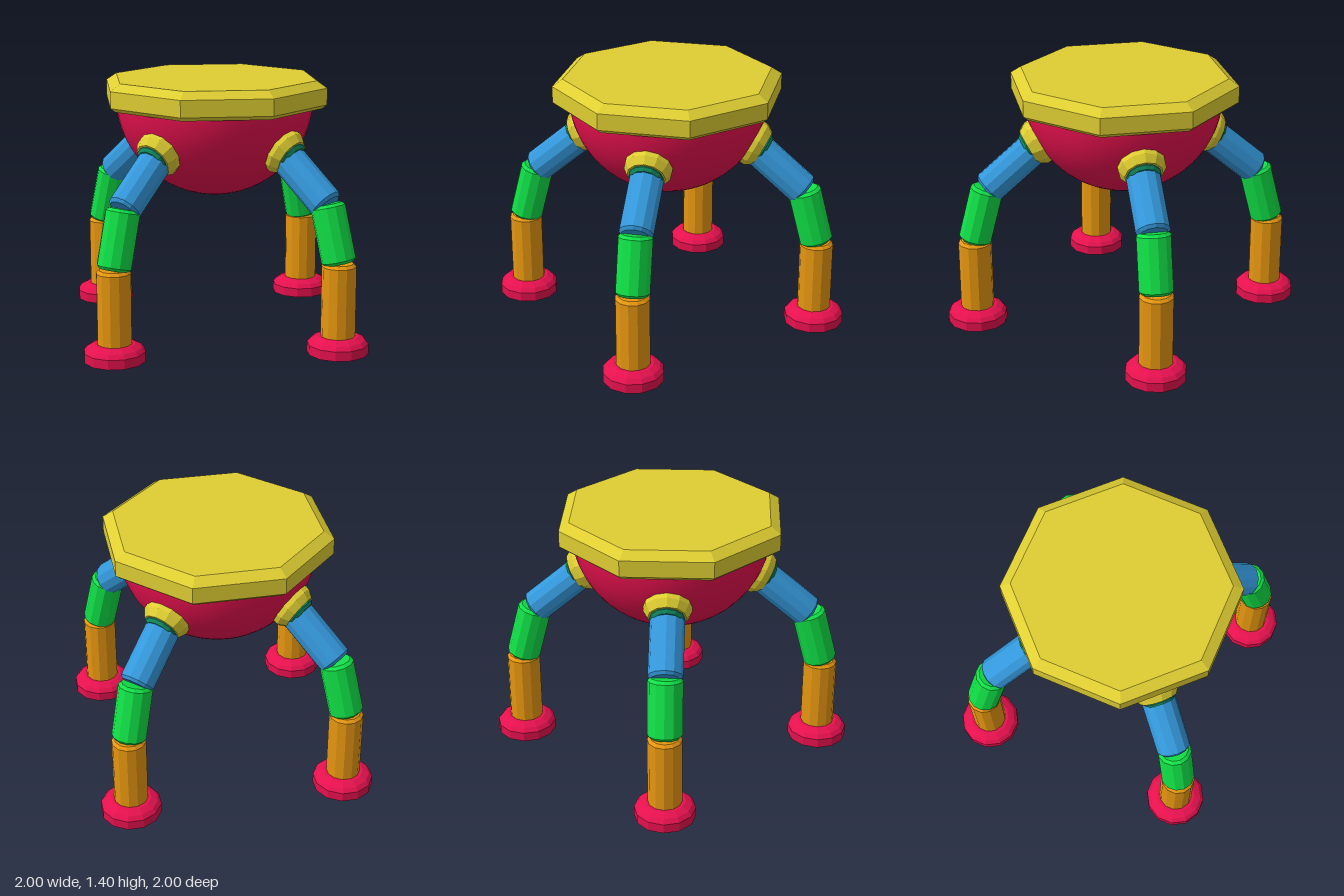
import * as THREE from 'three';

const paint = (name, color) => {
  const m = new THREE.MeshStandardMaterial({ color });
  m.name = name;
  return m;
};

// Faceted solid of revolution; profile is [radius, height] from bottom to top
function faceted(profile, sides, turn = 0) {
  const points = profile.map(([r, y]) => new THREE.Vector2(r, y));
  const g = new THREE.LatheGeometry(points, sides, turn).toNonIndexed();
  g.computeVertexNormals();
  return g;
}

function part(parent, name, geometry, material) {
  const mesh = new THREE.Mesh(geometry, material);
  mesh.name = name;
  parent.add(mesh);
  return mesh;
}

// Chamfered twelve-sided rod between two points in the XY plane
function rod(parent, name, from, to, material) {
  const a = new THREE.Vector3(from[0], from[1], 0);
  const d = new THREE.Vector3(to[0], to[1], 0).sub(a);
  const len = d.length(), r = 0.092, c = 0.016;
  const mesh = part(parent, name, faceted(
    [[0, 0], [r - c, 0], [r, c], [r, len - c], [r - c, len], [0, len]], 12), material);
  mesh.position.copy(a);
  mesh.quaternion.setFromUnitVectors(new THREE.Vector3(0, 1, 0), d.normalize());
}

export function createModel() {
  const yellow = paint('yellow', 0xdfce32);
  const red = paint('red', 0xe6114e);
  const blue = paint('blue', 0x3498db);
  const green = paint('green', 0x10e046);
  const orange = paint('orange', 0xe6960f);
  const teal = paint('teal', 0x128a62);

  const model = new THREE.Group();
  model.name = 'stool';

  // Octagonal bevelled seat, flat sides facing the axes
  const k = 1 / Math.cos(Math.PI / 8);
  part(model, 'seat', faceted([
    [0, 1.25], [0.555 * k, 1.25], [0.58 * k, 1.272],
    [0.58 * k, 1.362], [0.527 * k, 1.4], [0, 1.4],
  ], 8, Math.PI / 8), yellow);

  // Smooth bowl under the seat
  const bowlY = 1.295, bowlR = 0.54;
  const bowl = part(model, 'bowl', new THREE.SphereGeometry(
    bowlR, 48, 20, 0, Math.PI * 2, Math.PI / 2, Math.PI / 2), red);
  bowl.position.y = bowlY;

  // Four identical jointed legs, each built along +x
  const out = new THREE.Vector3(0.879, -0.477, 0).normalize();
  const up = new THREE.Vector3(0, 1, 0);
  const hip = [0.495, 1.008], knee = [0.757, 0.785], ankle = [0.836, 0.485];
  for (let i = 0; i < 4; i++) {
    const leg = new THREE.Group();
    leg.name = 'leg' + (i + 1);
    leg.rotation.y = i * Math.PI / 2;
    model.add(leg);

    // Socket ring and joint, square to the bowl surface
    const socket = new THREE.Group();
    socket.name = 'socket';
    socket.position.y = bowlY;
    socket.quaternion.setFromUnitVectors(up, out);
    leg.add(socket);
    part(socket, 'collar', faceted(
      [[0.1, 0.48], [0.128, 0.5], [0.128, 0.552], [0.102, 0.594], [0.088, 0.594], [0.088, 0.53]], 12), yellow);
    part(socket, 'joint', faceted(
      [[0, 0.5], [0.092, 0.5], [0.092, 0.6], [0.076, 0.616], [0, 0.616]], 12), teal);

    rod(leg, 'upperLeg', knee, hip, blue);
    rod(leg, 'middleLeg', ankle, [0.755, 0.795], green);
    rod(leg, 'lowerLeg', [0.836, 0.07], [0.836, 0.489], orange);

    // Bevelled foot pad
    const foot = part(leg, 'foot', faceted(
      [[0, 0], [0.164, 0], [0.164, 0.052], [0.145, 0.075], [0.11, 0.093], [0, 0.093]], 12), red);
    foot.position.x = 0.836;
  }
  return model;
}
